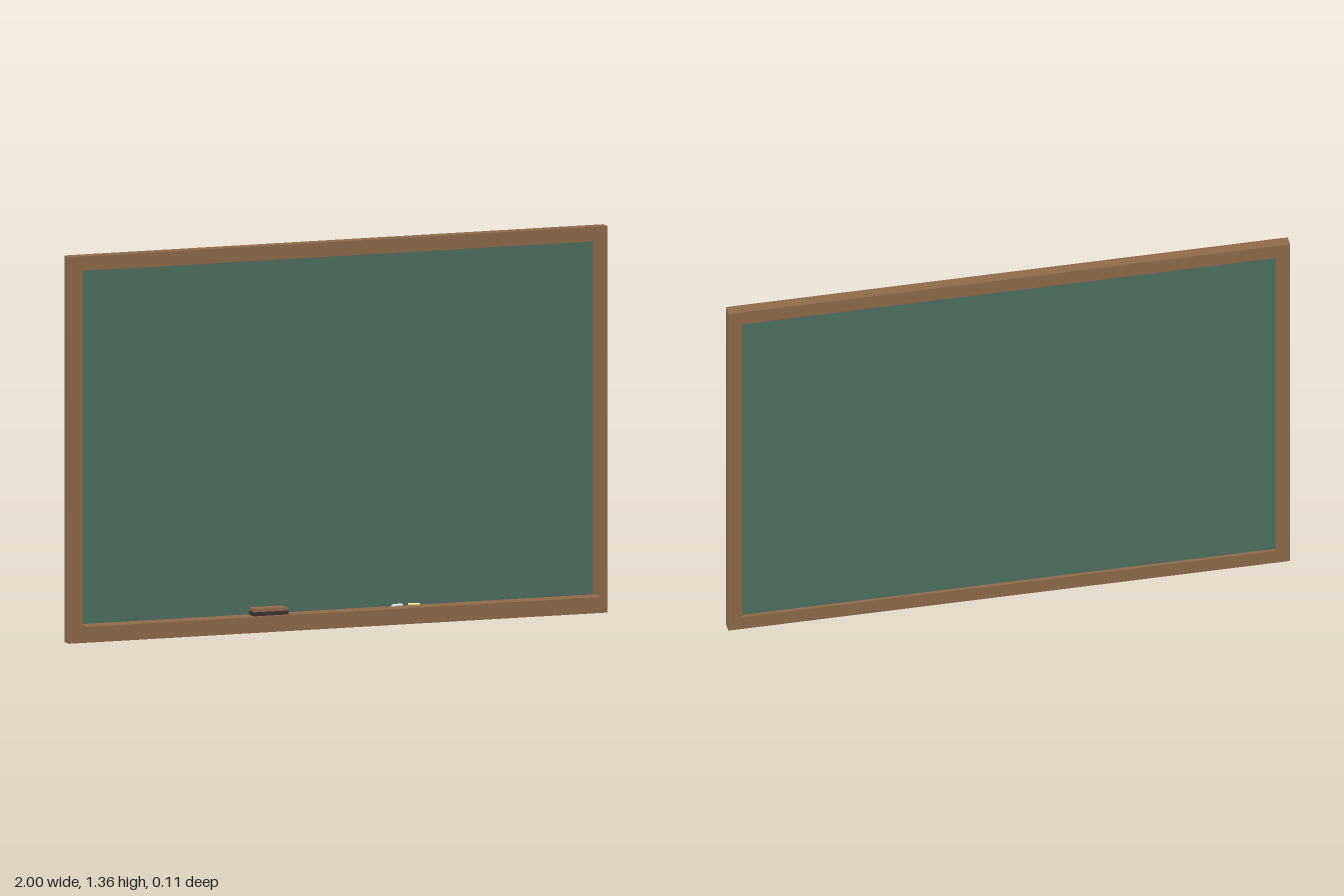
import * as THREE from 'three';

const material = (color) => new THREE.MeshStandardMaterial({ color });

export function createModel() {
  const group = new THREE.Group();
  const wood = material(0x8f6a4a);
  const green = material(0x4f7160);
  const felt = material(0x3a3330);

  const add = (name, geometry, mat, x, y, z) => {
    const mesh = new THREE.Mesh(geometry, mat);
    mesh.name = name;
    mesh.position.set(x, y, z);
    group.add(mesh);
    return mesh;
  };
  const box = (name, mat, w, h, d, x, y, z) =>
    add(name, new THREE.BoxGeometry(w, h, d), mat, x, y, z);

  // Wooden frame: a rectangle with a rectangular opening
  const W = 2, H = 1.363, rail = 0.051, depth = 0.043, back = -0.054;
  const outline = new THREE.Shape([
    new THREE.Vector2(-W / 2, 0), new THREE.Vector2(W / 2, 0),
    new THREE.Vector2(W / 2, H), new THREE.Vector2(-W / 2, H),
  ]);
  const ix = W / 2 - rail;
  outline.holes.push(new THREE.Path([
    new THREE.Vector2(-ix, rail), new THREE.Vector2(-ix, H - rail),
    new THREE.Vector2(ix, H - rail), new THREE.Vector2(ix, rail),
  ]));
  add('frame', new THREE.ExtrudeGeometry(outline, { depth, bevelEnabled: false }), wood, 0, 0, back);

  // Writing surface, recessed on both sides
  box('board', green, 2 * ix, H - 2 * rail, 0.018, 0, H / 2, back + depth / 2);

  // Ledge along the bottom of the front
  box('tray', wood, 1.91, 0.014, 0.065, 0, 0.06, 0.0215);

  // Eraser: felt pad with a wooden back
  box('eraserFelt', felt, 0.129, 0.014, 0.05, -0.267, 0.074, 0.014);
  box('eraserBack', wood, 0.125, 0.011, 0.048, -0.267, 0.0865, 0.014);

  // Two sticks of chalk lying on the tray
  const sticks = [
    ['whiteChalk', 0xeeeeea, 0.212, 0.2],
    ['yellowChalk', 0xe8d98a, 0.275, -0.25],
  ];
  for (const [name, color, x, turn] of sticks) {
    const stick = new THREE.CylinderGeometry(0.005, 0.005, 0.042, 12).rotateZ(Math.PI / 2);
    add(name, stick, material(color), x, 0.072, 0.008).rotation.y = turn;
  }

  return group;
}
